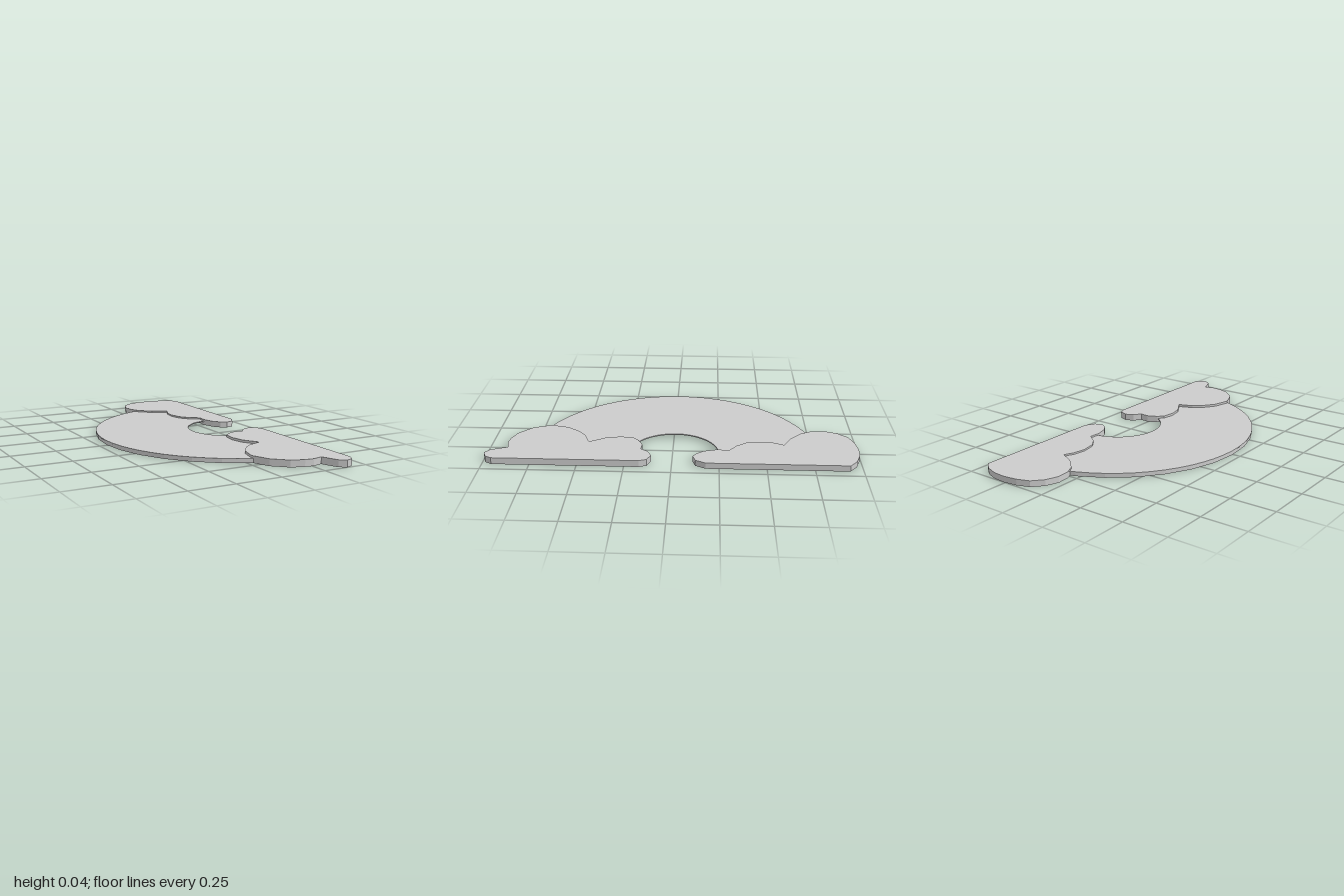
import * as THREE from 'three';

const BAND = { x: 0.325, z: -0.01, outer: 0.78, inner: 0.24, top: 0.024, bottom: 0.018 };

// Cloud outlines as [x, z] corners
const BACK_CLOUD = [
  [0.45, -0.93], [0.40, -0.97], [0.33, -0.995], [0.26, -1.0], [0.18, -0.99], [0.11, -0.965],
  [0.06, -0.91], [0.035, -0.84], [0.04, -0.77], [0.07, -0.71], [0.14, -0.645], [0.22, -0.605],
  [0.195, -0.55], [0.185, -0.48], [0.20, -0.40], [0.24, -0.345], [0.295, -0.305],
  [0.29, -0.24], [0.31, -0.17], [0.34, -0.13], [0.375, -0.11], [0.42, -0.125], [0.45, -0.18],
];
const FRONT_CLOUD = [
  [0.445, 0.17], [0.43, 0.13], [0.38, 0.11], [0.335, 0.13], [0.305, 0.17], [0.255, 0.165],
  [0.20, 0.19], [0.17, 0.22], [0.16, 0.29], [0.175, 0.37], [0.23, 0.46],
  [0.15, 0.49], [0.10, 0.53], [0.05, 0.60], [0.025, 0.70], [0.065, 0.80], [0.14, 0.87],
  [0.21, 0.895], [0.26, 0.90], [0.315, 0.885],
  [0.335, 0.94], [0.35, 0.975], [0.385, 1.0], [0.425, 0.985], [0.445, 0.95],
];

function addMesh(parent, name, geometry, material) {
  const mesh = new THREE.Mesh(geometry, material);
  mesh.name = name;
  parent.add(mesh);
  return mesh;
}

// Vertical strip following a closed outline from y = 0 up to height
function wallGeometry(points, height) {
  const pos = [];
  points.forEach(([x0, z0], i) => {
    const [x1, z1] = points[(i + 1) % points.length];
    pos.push(x0, 0, z0, x0, height, z0, x1, height, z1);
    pos.push(x0, 0, z0, x1, height, z1, x1, 0, z1);
  });
  const g = new THREE.BufferGeometry();
  g.setAttribute('position', new THREE.Float32BufferAttribute(pos, 3));
  g.computeVertexNormals();
  return g;
}

// Cloud: a flat lid with a rim, open underneath
function makeCloud(name, points, height, material) {
  const cloud = new THREE.Group();
  cloud.name = name;
  const shape = new THREE.Shape(points.map(([x, z]) => new THREE.Vector2(x, -z)));
  const lid = new THREE.ShapeGeometry(shape).rotateX(-Math.PI / 2).translate(0, height, 0);
  addMesh(cloud, name + 'Top', lid, material);
  addMesh(cloud, name + 'Rim', wallGeometry(points, height), material);
  return cloud;
}

export function createModel() {
  const group = new THREE.Group();
  const solid = new THREE.MeshStandardMaterial({ color: 0xcccccc, flatShading: true });
  const open = new THREE.MeshStandardMaterial({ color: 0xcccccc, flatShading: true, side: THREE.DoubleSide });

  // Half-ring arch: thin plate
  const arch = new THREE.Shape();
  arch.absarc(0, 0, BAND.outer, Math.PI / 2, Math.PI * 1.5, false);
  arch.absarc(0, 0, BAND.inner, Math.PI * 1.5, Math.PI / 2, true);
  const plate = new THREE.ExtrudeGeometry(arch, {
    depth: BAND.top - BAND.bottom, bevelEnabled: false, curveSegments: 16,
  });
  plate.rotateX(-Math.PI / 2).translate(BAND.x, BAND.bottom, BAND.z);
  addMesh(group, 'archPlate', plate, solid);

  // Outer rim of the arch, reaching the ground
  const rim = new THREE.CylinderGeometry(BAND.outer, BAND.outer, BAND.bottom, 16, 1, true, Math.PI, Math.PI);
  rim.translate(BAND.x, BAND.bottom / 2, BAND.z);
  addMesh(group, 'archRim', rim, solid);

  // Clouds covering both ends of the arch
  group.add(makeCloud('frontCloud', FRONT_CLOUD, 0.037, open));
  group.add(makeCloud('backCloud', BACK_CLOUD, 0.033, open));
  return group;
}
